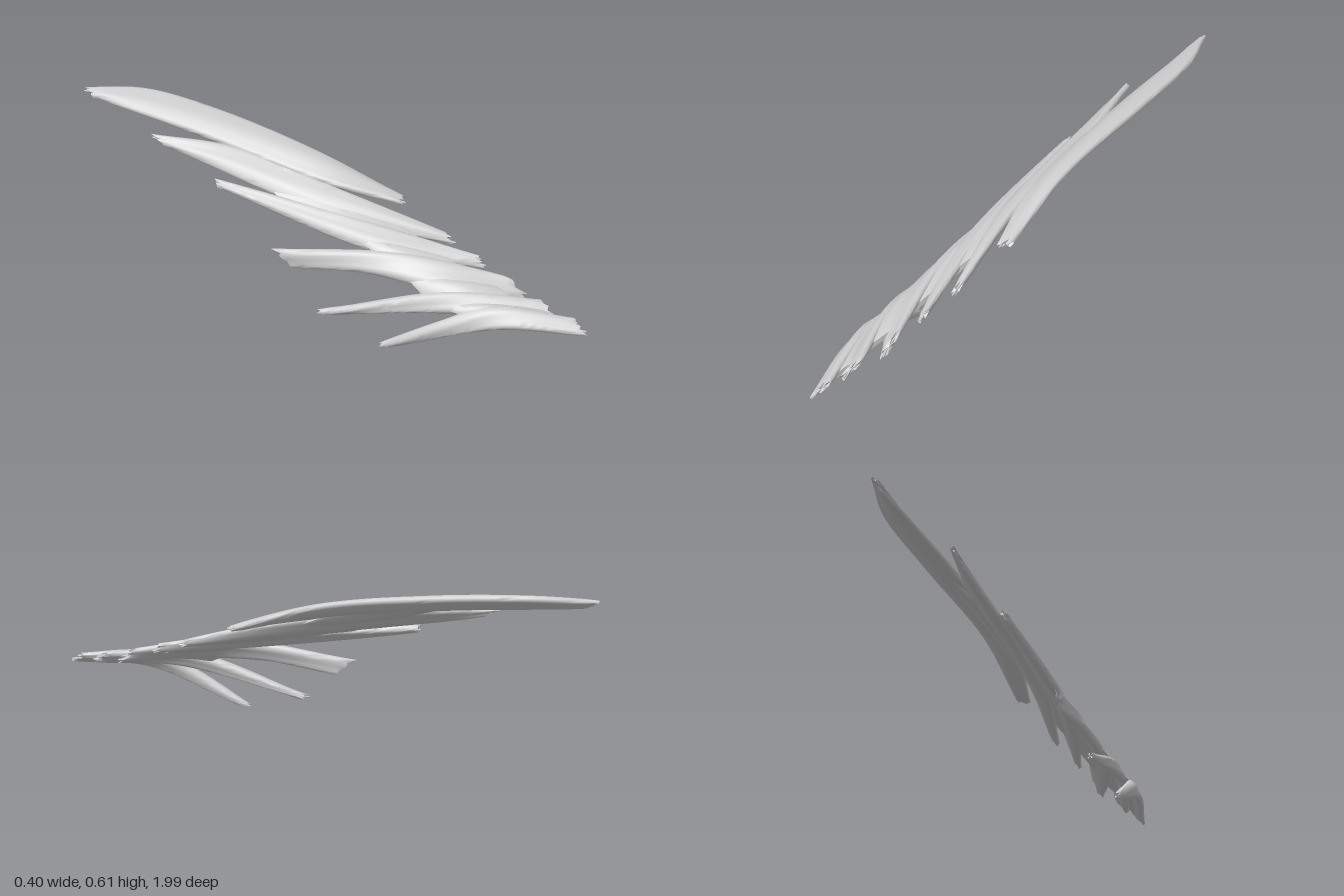
import * as THREE from 'three';
import { toCreasedNormals } from 'three/addons/utils/BufferGeometryUtils.js';

const material = new THREE.MeshStandardMaterial({ color: 0xcccccc, side: THREE.DoubleSide });

// A smooth edge through a few points
const edge = (...pts) => new THREE.CatmullRomCurve3(pts.map(p => new THREE.Vector3(...p)));

// Each muscle slip is a flat band between an upper and a lower edge
const makeSlip = (name, upper, lower) => ({
  name,
  // f runs across the band from upper (0) to lower (1), t along it
  at: (f, t) => upper.getPointAt(t).lerp(lower.getPointAt(t), f)
});

const slips = [
  makeSlip('topSlip',
    edge([.183, .402, .2], [.095, .51, -.1], [.02, .582, -.5], [-.06, .612, -.8], [-.18, .605, -.985]),
    edge([.145, .393, .235], [.02, .44, 0], [-.1, .527, -.5], [-.185, .578, -.93])),
  makeSlip('secondSlip',
    edge([.175, .328, .41], [.05, .42, .08], [-.06, .505, -.35], [-.195, .523, -.62]),
    edge([.168, .295, .44], [-.03, .355, .08], [-.186, .488, -.56])),
  makeSlip('thirdSlip',
    edge([.17, .288, .54], [0, .363, .14], [-.165, .42, -.34]),
    edge([.165, .25, .57], [-.02, .28, .29], [-.182, .4, -.31])),
  makeSlip('fourthSlip',
    edge([.172, .25, .66], [0, .294, .34], [-.183, .25, -.05]),
    edge([.182, .185, .74], [.03, .2, .58], [-.07, .22, .28], [-.152, .19, .02])),
  makeSlip('fifthSlip',
    edge([.17, .21, .8], [0, .215, .54], [-.183, .08, .15]),
    edge([.16, .16, .88], [0, .16, .62], [-.155, .07, .17])),
  makeSlip('bottomSlip',
    edge([.172, .185, .92], [.04, .2, .69], [-.04, .145, .58], [-.13, .014, .37]),
    edge([.158, .147, .985], [.02, .14, .75], [-.108, .008, .41]))
];

// Lofts rounded flat sections between two edges; tips get thinner and frayed
function band(at, thick, fray, seed) {
  const rows = 36, sides = 20, pos = [], index = [];
  for (let i = 0; i <= rows; i++) {
    const t = i / rows, centre = at(0.5, t);
    const half = at(0, t).sub(centre);
    const tangent = at(0.5, Math.min(1, t + 0.01)).sub(at(0.5, Math.max(0, t - 0.01))).normalize();
    const normal = tangent.clone().cross(half).normalize();
    const h = thick * (0.5 + 0.5 * Math.pow(Math.max(0, Math.sin(Math.PI * t)), 0.6));
    const tip = fray * Math.pow(Math.abs(2 * t - 1), 14);
    for (let j = 0; j < sides; j++) {
      const a = j / sides * Math.PI * 2, c = Math.cos(a), s = Math.sin(a);
      const ridge = 1 + 0.13 * Math.sin(5 * c + seed + 3 * t);
      const p = centre.clone()
        .addScaledVector(half, Math.sign(c) * Math.pow(Math.abs(c), 0.85))
        .addScaledVector(normal, h * ridge * Math.sign(s) * Math.pow(Math.abs(s), 0.8))
        .addScaledVector(tangent, tip * Math.sin(c * 7 + seed * 2.3));
      pos.push(p.x, p.y, p.z);
    }
  }
  for (let i = 0; i < rows; i++) for (let j = 0; j < sides; j++) {
    const a = i * sides + j, b = i * sides + (j + 1) % sides;
    index.push(a, b, a + sides, b, b + sides, a + sides);
  }
  // Blunt end caps
  for (const row of [0, rows]) {
    const hub = pos.length / 3;
    pos.push(...at(0.5, row / rows).toArray());
    for (let j = 0; j < sides; j++) {
      const a = row * sides + j, b = row * sides + (j + 1) % sides;
      index.push(...(row ? [a, b, hub] : [b, a, hub]));
    }
  }
  const g = new THREE.BufferGeometry();
  g.setAttribute('position', new THREE.Float32BufferAttribute(pos, 3));
  g.setIndex(index);
  return toCreasedNormals(g, 0.9);
}

export function createModel() {
  const group = new THREE.Group();
  const add = (name, geometry) => {
    const mesh = new THREE.Mesh(geometry, material);
    mesh.name = name;
    group.add(mesh);
    return mesh;
  };

  // Finger-like slips, slightly thinner towards the bottom
  slips.forEach((slip, i) => add(slip.name, band(slip.at, 0.021 - 0.0006 * i, 0.012, i)));

  // Webs joining neighbouring slips into one sheet, between their notches
  const spans = [[.32, .68], [.16, .7], [.14, .52], [.1, .5], [.04, .5]];
  spans.forEach(([from, to], i) => {
    const at = (f, t) => {
      const u = from + (to - from) * t;
      return slips[i].at(0.5, u).lerp(slips[i + 1].at(0.5, u), f);
    };
    add('web' + (i + 1), band(at, 0.018, 0, i + 2));
  });

  // Frayed tendon points running out of a slip's end
  const up = new THREE.Vector3(0, 1, 0);
  const tendonPoint = (slip, f, inner, end, reach) => {
    const start = slip.at(f, inner), dir = slip.at(f, end).sub(start);
    const length = dir.length() + reach;
    dir.normalize();
    const mesh = add('tendonPoint', new THREE.CylinderGeometry(0.003, 0.012, length, 7));
    mesh.position.copy(start).addScaledVector(dir, length / 2);
    mesh.quaternion.setFromUnitVectors(up, dir);
  };
  slips.forEach((slip, i) => {
    tendonPoint(slip, 0.3, 0.1, 0, 0.01);
    tendonPoint(slip, 0.75, 0.1, 0, 0.018);
    if (i < 2) tendonPoint(slip, 0.35, 0.92, 1, 0.02);
  });
  return group;
}
